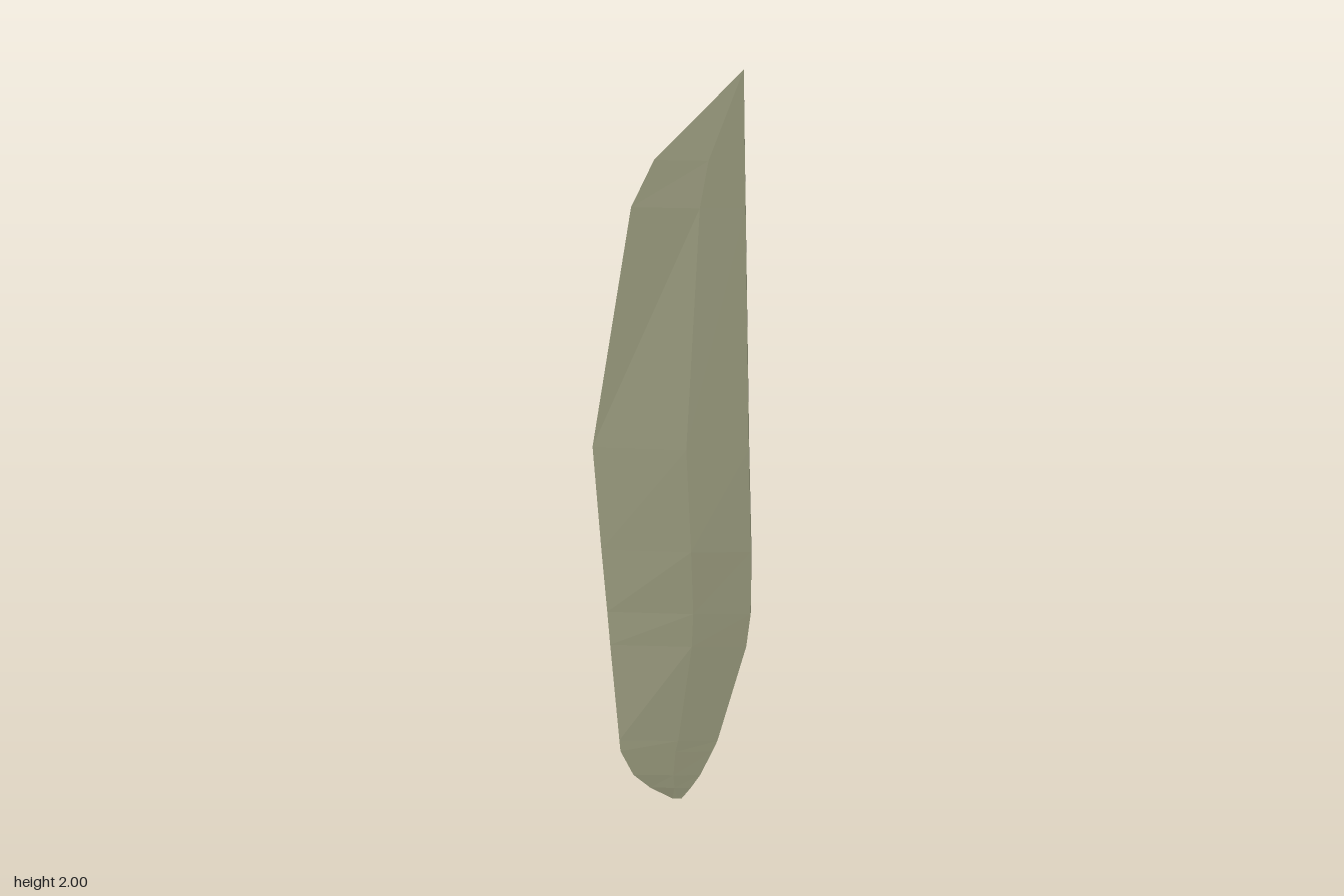
import * as THREE from 'three';

// Cross-sections from the rounded base to the tip:
// y, left x, right x, half thickness at left edge, middle and right edge
const SECTIONS = [
  [0, 0.0, 0.025, 0.04, 0.042, 0.042],
  [0.03, -0.06, 0.05, 0.041, 0.045, 0.044],
  [0.065, -0.105, 0.075, 0.042, 0.047, 0.045],
  [0.13, -0.14, 0.108, 0.042, 0.049, 0.046],
  [0.16, -0.143, 0.122, 0.041, 0.05, 0.046],
  [0.42, -0.168, 0.2, 0.027, 0.053, 0.048],
  [0.51, -0.176, 0.212, 0.022, 0.0535, 0.049],
  [0.68, -0.192, 0.213, 0.014, 0.053, 0.047],
  [0.96, -0.216, 0.207, 0, 0.043, 0.038],
  [1.62, -0.112, 0.198, 0, 0.015, 0.0135],
  [1.75, -0.05, 0.196, 0, 0.01, 0.009],
  [2, 0.193, 0.193, 0, 0, 0],
];

function loftBlade() {
  const positions = [], index = [], n = 6;
  for (const [y, xl, xr, tl, tm, tr] of SECTIONS) {
    const xm = xl + (xr - xl) * 0.6;
    // front face left to right, then back face right to left
    positions.push(xl, y, tl, xm, y, tm, xr, y, tr, xr, y, -tr, xm, y, -tm, xl, y, -tl);
  }
  for (let r = 0; r < SECTIONS.length - 1; r++) {
    for (let k = 0; k < n; k++) {
      const a = r * n + k, b = r * n + (k + 1) % n;
      index.push(a, b, b + n, a, b + n, a + n);
    }
  }
  // base cap
  for (let k = 1; k < n - 1; k++) index.push(0, k + 1, k);
  const geometry = new THREE.BufferGeometry();
  geometry.setAttribute('position', new THREE.Float32BufferAttribute(positions, 3));
  geometry.setIndex(index);
  geometry.computeVertexNormals();
  return geometry;
}

export function createModel() {
  const group = new THREE.Group();
  group.name = 'bladeModel';
  const material = new THREE.MeshStandardMaterial({ color: 0x96977a, flatShading: true });
  const blade = new THREE.Mesh(loftBlade(), material);
  blade.name = 'blade';
  group.add(blade);
  return group;
}
